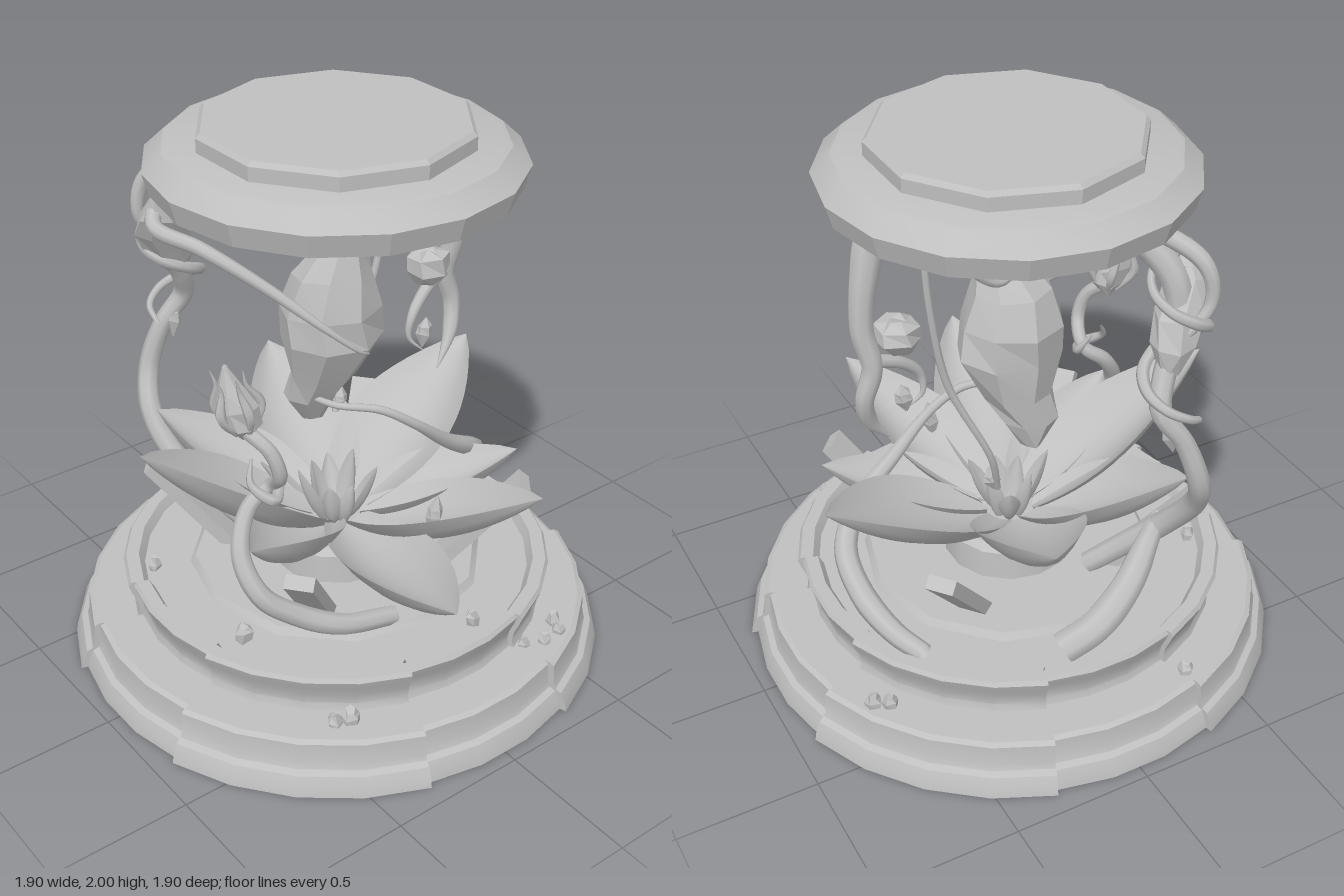
import * as THREE from 'three';
import { toCreasedNormals } from 'three/addons/utils/BufferGeometryUtils.js';

const V = (a) => new THREE.Vector3(...a);
const P2 = (list) => list.map(([x, y]) => new THREE.Vector2(x, y));

export function createModel() {
  const model = new THREE.Group();
  const stone = new THREE.MeshStandardMaterial({ color: 0xbfbfbf, side: THREE.DoubleSide });
  stone.name = 'stone grey';

  let seed = 7;
  const rand = () => (seed = (seed * 16807) % 2147483647) / 2147483647;

  const add = (name, geometry, parent = model) => {
    const mesh = new THREE.Mesh(geometry, stone);
    mesh.name = name;
    parent.add(mesh);
    return mesh;
  };
  const lathe = (pts, sides, start = 0, length = Math.PI * 2, crease = 0.5) =>
    toCreasedNormals(new THREE.LatheGeometry(P2(pts), sides, start, length), crease);

  // Tapered tube: radii are spread evenly along the path
  const vine = (name, pts, radii, sides = 8) => {
    const curve = new THREE.CatmullRomCurve3(pts.map(V));
    const n = pts.length * 6;
    const geo = new THREE.TubeGeometry(curve, n, 1, sides);
    const pos = geo.attributes.position;
    const v = new THREE.Vector3();
    for (let i = 0; i <= n; i++) {
      const c = curve.getPointAt(i / n);
      const f = (i / n) * (radii.length - 1);
      const k = Math.min(Math.floor(f), radii.length - 2);
      const r = THREE.MathUtils.lerp(radii[k], radii[k + 1], f - k);
      for (let j = 0; j <= sides; j++) {
        const id = i * (sides + 1) + j;
        v.fromBufferAttribute(pos, id).sub(c).multiplyScalar(r).add(c);
        pos.setXYZ(id, v.x, v.y, v.z);
      }
    }
    return add(name, geo);
  };

  // Faceted solid from rings [y, cx, cz, rx, rz]
  const facetRings = (rings, sides, jitter) => {
    const pos = [], idx = [];
    rings.forEach(([y, cx, cz, rx, rz], i) => {
      for (let j = 0; j < sides; j++) {
        const a = ((j + (i % 2) * 0.15) / sides) * Math.PI * 2;
        const k = 1 + (rand() - 0.5) * jitter;
        pos.push(cx + Math.sin(a) * rx * k, y + (rand() - 0.5) * jitter * 0.12, cz + Math.cos(a) * rz * k);
        if (i) {
          const b = (i - 1) * sides, c = i * sides, m = (j + 1) % sides;
          idx.push(b + j, b + m, c + j, b + m, c + m, c + j);
        }
      }
    });
    const top = (rings.length - 1) * sides;
    for (let j = 1; j < sides - 1; j++) idx.push(0, j + 1, j, top, top + j, top + j + 1);
    const geo = new THREE.BufferGeometry();
    geo.setAttribute('position', new THREE.Float32BufferAttribute(pos, 3));
    geo.setIndex(idx);
    return toCreasedNormals(geo, 0.2);
  };

  // Cupped petal from a base point to a tip: an upper sheet and a fuller underside
  const petal = (name, base, tip, width, sag, cup, belly) => {
    const a = V(base), b = V(tip);
    const mid = a.clone().lerp(b, 0.5);
    mid.y -= sag;
    const spine = new THREE.QuadraticBezierCurve3(a, mid, b);
    const side = new THREE.Vector3(b.z - a.z, 0, a.x - b.x).normalize();
    for (const drop of [0, belly]) {
      const geo = new THREE.PlaneGeometry(1, 1, 8, 14);
      const pos = geo.attributes.position;
      for (let i = 0; i < pos.count; i++) {
        const s = pos.getX(i) * 2, t = pos.getY(i) + 0.5;
        const w = Math.pow(Math.sin(Math.PI * Math.min(1, 0.12 + t * 0.88)), 0.8);
        const p = spine.getPoint(t).addScaledVector(side, (s * w * width) / 2);
        const up = spine.getTangent(t).cross(side).normalize();
        if (up.y < 0) up.negate();
        p.addScaledVector(up, s * s * w * cup - (1 - s * s) * w * drop);
        pos.setXYZ(i, p.x, p.y, p.z);
      }
      geo.computeVertexNormals();
      add(name + (drop ? 'Underside' : ''), geo);
    }
  };

  // Stepped plinth: narrow sectors on the axes, wider raised sectors between
  const plinth = [[0, 0], [0.956, 0], [0.95, 0.03], [0.932, 0.07], [0.91, 0.08], [0.902, 0.1], [0.897, 0.175],
    [0.88, 0.185], [0.74, 0.185], [0.732, 0.21], [0.738, 0.25], [0.755, 0.29], [0.765, 0.32], [0.755, 0.335],
    [0.71, 0.335], [0.69, 0.3], [0, 0.3]];
  const half = 0.321;
  for (let k = 0; k < 4; k++) {
    const a = (k * Math.PI) / 2;
    const wide = plinth.map(([x, y]) => [x * 1.025, y]);
    add('plinthAxisSector', lathe(plinth, 3, a - half, half * 2));
    add('plinthCornerSector', lathe(wide, 4, a + half, Math.PI / 2 - half * 2));
    for (const e of [a + half, a + Math.PI / 2 - half]) {
      const end = new THREE.ShapeGeometry(new THREE.Shape(P2(wide)));
      add('plinthSectorEnd', end.rotateY(e - Math.PI / 2));
    }
  }
  add('floorPlate', lathe([[0.54, 0.3], [0.52, 0.325], [0, 0.325]], 12));
  add('flowerPedestal', lathe([[0.24, 0.32], [0.23, 0.43], [0.2, 0.45], [0, 0.45]], 14));

  // Round cap with a ten-sided top plate and a recessed underside
  add('capRim', lathe([[0, 1.82], [0.53, 1.82], [0.54, 1.79], [0.612, 1.79], [0.635, 1.87], [0.57, 1.93],
    [0.55, 1.937], [0, 1.937]], 16, 0, Math.PI * 2, 0.35));
  add('capTopPlate', lathe([[0.465, 1.93], [0.465, 1.985], [0.45, 2], [0, 2]], 10, 0, Math.PI * 2, 0.35));
  add('capUnderBoss', lathe([[0, 1.815], [0.15, 1.815], [0.16, 1.795], [0.29, 1.795], [0.31, 1.82]], 10));

  // Floating crystal
  add('crystal', facetRings([[0.84, -0.02, -0.12, 0.035, 0.05], [0.94, -0.03, -0.11, 0.1, 0.085],
    [1.04, 0.0, -0.07, 0.13, 0.115], [1.2, 0.015, -0.04, 0.195, 0.165], [1.31, 0.005, -0.04, 0.18, 0.165],
    [1.44, 0.01, -0.03, 0.145, 0.13], [1.55, 0.03, 0.0, 0.08, 0.075], [1.62, 0.035, 0.02, 0.015, 0.015]], 8, 0.14));

  // Flower: large open petals [tip x, y, z, width, sag], then a tuft of small pointed ones
  const tips = [[0.79, 0.87, -0.2, 0.44, 0.09], [0.6, 0.67, 0.31, 0.3, 0.08], [0.31, 0.8, 0.74, 0.34, 0.11],
    [-0.25, 0.71, 0.95, 0.34, 0.12], [-0.58, 0.72, 0.3, 0.3, 0.09], [-0.76, 0.97, -0.07, 0.38, 0.09],
    [-0.42, 0.81, -0.53, 0.36, 0.09], [0.2, 0.82, -0.7, 0.4, 0.09]];
  for (const [x, y, z, w, sag] of tips) {
    const r = Math.hypot(x, z);
    petal('petal', [(x / r) * 0.08, 0.47, (z / r) * 0.08], [x, y, z], w, sag, 0.09, 0.05);
  }
  for (let i = 0; i < 7; i++) {
    const a = i * 0.9, r = 0.1 + (i % 2) * 0.05;
    petal('innerPetal', [Math.sin(a) * 0.05, 0.46, Math.cos(a) * 0.05],
      [Math.sin(a) * r, 0.64 + (i % 3) * 0.03, Math.cos(a) * r], 0.08, 0.02, 0.02, 0.02);
  }

  // Four leaning struts under the flower
  for (const sx of [-1, 1]) for (const sz of [-1, 1]) {
    const a = V([0.27 * sx, 0.31, 0.27 * sz]), b = V([0.5 * sx, 0.65, 0.46 * sz]);
    const strut = add('strut', new THREE.BoxGeometry(0.1, 0.05, a.distanceTo(b)));
    strut.position.copy(a).lerp(b, 0.5);
    strut.lookAt(b);
  }

  // Vines and roots
  vine('hangingRoot', [[0.38, 1.8, -0.02], [0.48, 1.75, -0.01], [0.53, 1.6, -0.02], [0.55, 1.42, -0.03],
    [0.53, 1.28, -0.05], [0.56, 1.15, -0.04], [0.53, 1.04, -0.01], [0.45, 0.93, 0.02]],
  [0.055, 0.055, 0.045, 0.04, 0.035, 0.03, 0.002]);
  vine('hangingRootBranch', [[0.53, 1.3, -0.04], [0.42, 1.25, -0.02], [0.34, 1.17, 0], [0.33, 1.09, 0], [0.38, 1.03, 0.02]],
    [0.025, 0.02, 0.002]);
  vine('backVine', [[-0.1, 1.81, -0.28], [-0.22, 1.76, -0.4], [-0.32, 1.62, -0.5], [-0.33, 1.45, -0.53],
    [-0.26, 1.3, -0.57], [-0.23, 1.2, -0.61], [-0.3, 1.08, -0.65], [-0.36, 0.9, -0.67], [-0.4, 0.76, -0.6],
    [-0.37, 0.6, -0.48], [-0.28, 0.46, -0.37], [-0.18, 0.34, -0.28]], [0.05, 0.05, 0.04, 0.035, 0.04, 0.045, 0.04]);
  vine('capBranch', [[-0.15, 1.8, -0.3], [-0.28, 1.77, -0.45], [-0.38, 1.69, -0.58], [-0.4, 1.55, -0.6], [-0.3, 1.42, -0.58]],
    [0.035, 0.03, 0.015]);
  const coil = [];
  for (let i = 0; i <= 14; i++) {
    const a = i * 0.8;
    coil.push([-0.34 + Math.sin(a) * 0.1 + i * 0.006, 1.68 - i * 0.04, -0.52 + Math.cos(a) * 0.09 - i * 0.007]);
  }
  vine('coilingVine', coil, [0.01, 0.022, 0.022, 0.01], 6);
  add('cocoon', facetRings([[1.32, -0.28, -0.57, 0.04, 0.03], [1.4, -0.31, -0.55, 0.08, 0.07],
    [1.5, -0.35, -0.52, 0.1, 0.08], [1.6, -0.4, -0.47, 0.07, 0.07], [1.69, -0.42, -0.43, 0.02, 0.02]], 7, 0.2));
  vine('reachingTendril', [[-0.38, 1.66, -0.48], [-0.46, 1.6, -0.4], [-0.4, 1.57, -0.2], [-0.26, 1.45, -0.03],
    [-0.12, 1.31, 0.1], [0, 1.2, 0.14], [0.05, 1.17, 0.12]], [0.03, 0.025, 0.018, 0.004]);
  vine('budVine', [[-0.55, 1.15, 0.24], [-0.5, 1.08, 0.31], [-0.47, 0.98, 0.32], [-0.45, 0.9, 0.24], [-0.53, 0.83, 0.22],
    [-0.6, 0.7, 0.27], [-0.58, 0.57, 0.35], [-0.47, 0.47, 0.4], [-0.32, 0.39, 0.45], [-0.1, 0.33, 0.46]],
  [0.025, 0.025, 0.035, 0.04, 0.035]);
  vine('budVineCurl', [[-0.46, 0.97, 0.2], [-0.42, 0.9, 0.23], [-0.48, 0.88, 0.3], [-0.53, 0.93, 0.24], [-0.5, 1.0, 0.2]],
    [0.004, 0.022, 0.018, 0.004], 6);
  vine('crystalVine', [[-0.08, 0.96, -0.12], [-0.04, 0.965, 0.05], [0.08, 0.95, 0.15], [0.2, 0.87, 0.19], [0.38, 0.72, 0.17],
    [0.54, 0.61, 0.12], [0.64, 0.51, 0.02], [0.65, 0.42, -0.13], [0.61, 0.36, -0.3], [0.55, 0.33, -0.42]],
  [0.01, 0.014, 0.02, 0.032, 0.042, 0.045, 0.035]);
  vine('backRoot', [[-0.38, 0.58, -0.42], [-0.28, 0.55, -0.5], [-0.15, 0.48, -0.59], [0, 0.4, -0.64], [0.12, 0.33, -0.62]],
    [0.03, 0.05, 0.06, 0.06]);
  vine('thinStrand', [[0.42, 1.8, -0.23], [0.4, 1.55, -0.23], [0.34, 1.25, -0.22], [0.2, 0.93, -0.25], [0.15, 0.75, -0.2]],
    [0.012, 0.014, 0.012], 6);
  vine('capLoop', [[0.03, 1.82, -0.26], [0.1, 1.69, -0.28], [0.19, 1.64, -0.3], [0.27, 1.69, -0.31], [0.33, 1.82, -0.3]],
    [0.016, 0.018, 0.016], 6);

  // Closed bud with curling sepals
  add('bud', facetRings([[1.12, -0.54, 0.23, 0.02, 0.02], [1.17, -0.545, 0.23, 0.07, 0.06],
    [1.23, -0.56, 0.22, 0.075, 0.065], [1.3, -0.58, 0.21, 0.045, 0.045], [1.37, -0.59, 0.2, 0.008, 0.008]], 7, 0.2));
  for (let i = 0; i < 5; i++) {
    const s = Math.sin(i * 1.257), c = Math.cos(i * 1.257);
    vine('sepal', [[-0.545 + s * 0.03, 1.14, 0.23 + c * 0.03], [-0.56 + s * 0.08, 1.22, 0.22 + c * 0.07],
      [-0.575 + s * 0.05, 1.3, 0.21 + c * 0.05], [-0.585 + s * 0.055, 1.35, 0.2 + c * 0.055]], [0.012, 0.018, 0.001], 5);
  }

  // Seed pod and hanging crystal shards
  add('seedPod', facetRings([[1.28, 0.41, -0.01, 0.04, 0.04], [1.34, 0.42, -0.01, 0.085, 0.08],
    [1.39, 0.42, -0.01, 0.075, 0.07], [1.41, 0.42, -0.01, 0.03, 0.03]], 6, 0.2));
  const shards = [[0.4, 1.09, 0, 0.055], [0.11, 0.64, 0.42, 0.08], [0.17, 0.8, -0.2, 0.05], [-0.27, 1.1, -0.62, 0.07]];
  for (const [x, y, z, h] of shards) {
    const shard = add('shard', facetRings([[-h, 0, 0, 0.004, 0.004], [-h * 0.1, 0, 0, 0.033, 0.025],
      [h * 0.4, 0, 0, 0.03, 0.022], [h, 0, 0, 0.003, 0.003]], 5, 0.1));
    shard.position.set(x, y, z);
    shard.rotation.z = -0.15;
  }

  // Loose rubble on the ledges
  const rubble = [[-0.28, -0.79], [-0.6, -0.3], [0.7, -0.45], [0.75, -0.42], [-0.5, 0.65], [-0.45, 0.67],
    [0.45, 0.7], [0.43, 0.75], [0.35, 0.76], [0.28, 0.73], [0.11, 0.64], [-0.57, 0.23]];
  for (const [x, z] of rubble) {
    const r = 0.022 + rand() * 0.012;
    const rock = add('rubble', facetRings([[-r, 0, 0, r, r * 0.8], [0, 0, 0, r, r], [r * 0.8, 0, 0, r * 0.5, r * 0.6]], 5, 0.15));
    rock.position.set(x, (Math.hypot(x, z) > 0.77 ? 0.185 : 0.32) + r * 0.6, z);
    rock.rotation.y = rand() * 6;
  }
  return model;
}
